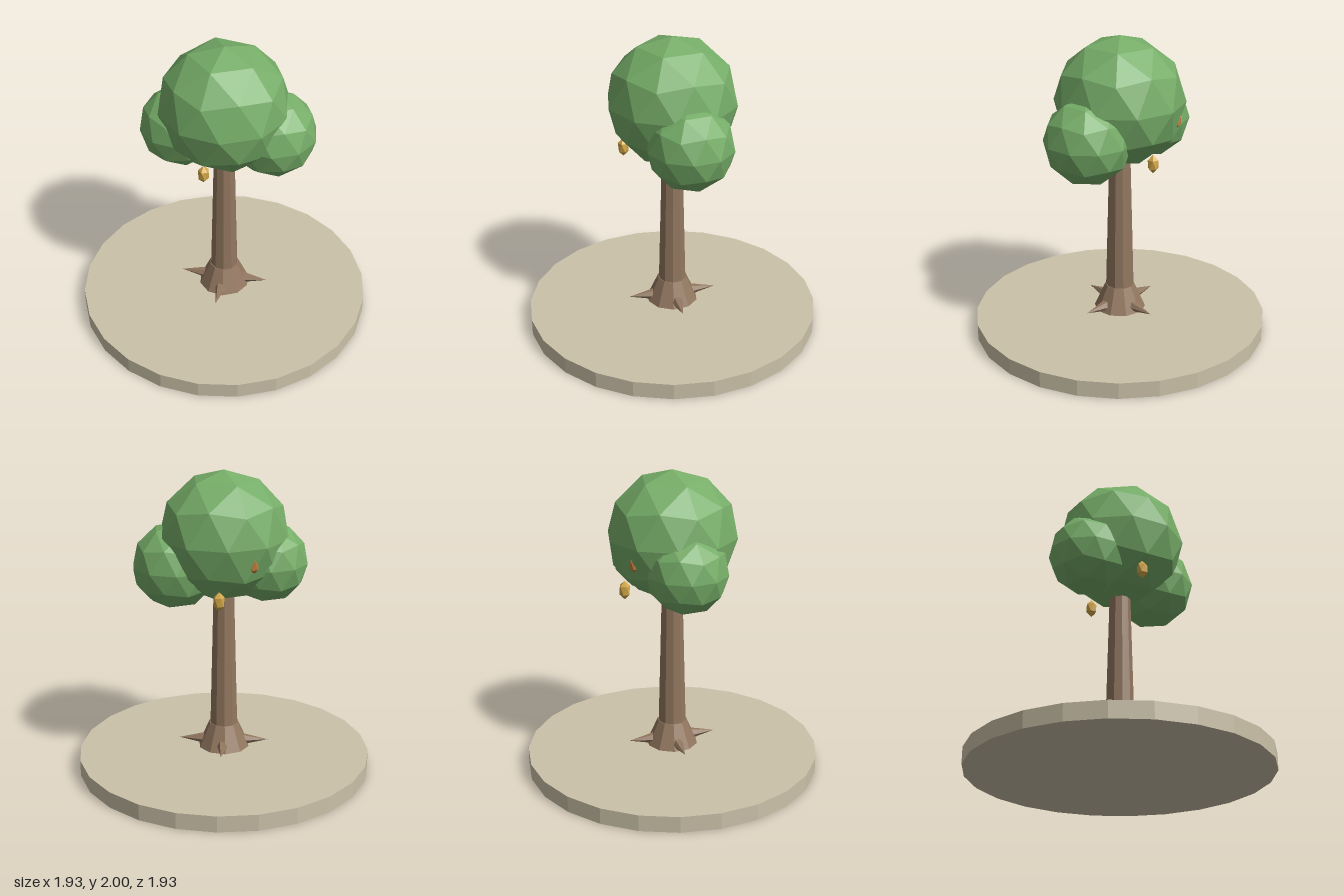
import * as THREE from 'three';

const flat = (name, color) => {
  const m = new THREE.MeshStandardMaterial({ color });
  m.name = name;
  m.flatShading = true;
  return m;
};

export function createModel() {
  const tree = new THREE.Group();
  tree.name = 'tree';

  const sand = flat('sand', 0xcbc1a8);
  const bark = flat('bark', 0x92775f);
  const leaf = flat('leaf', 0x76ad68);
  const gold = flat('gold', 0xd2a748);
  const amber = flat('amber', 0xc08040);

  const add = (name, geometry, material, x = 0, y = 0, z = 0) => {
    const mesh = new THREE.Mesh(geometry, material);
    mesh.name = name;
    mesh.position.set(x, y, z);
    tree.add(mesh);
    return mesh;
  };

  // Icosphere turned so that one corner points straight up
  const ball = (radius, detail) =>
    new THREE.IcosahedronGeometry(radius, detail).rotateZ(-Math.atan(2 / (1 + Math.sqrt(5))));

  // Round base slab
  add('base', new THREE.CylinderGeometry(0.965, 0.965, 0.107, 24), sand, 0, 0.0535, 0);

  // Trunk with flared foot
  add('trunkFoot', new THREE.CylinderGeometry(0.097, 0.17, 0.165, 10), bark, 0, 0.2175, 0);
  add('trunk', new THREE.CylinderGeometry(0.066, 0.092, 1.0, 10), bark, 0, 0.795, 0);

  // Four pointed roots, spread around the foot
  for (let i = 0; i < 4; i++) {
    const angle = 0.5 + (i * Math.PI) / 2;
    const root = new THREE.ConeGeometry(0.04, 0.18, 6).rotateZ(-Math.PI / 2).translate(0.205, 0, 0);
    add('root', root.rotateY(angle), bark, 0, 0.175, 0);
  }

  // Crown of three leafy balls
  add('mainCrown', ball(0.42, 1), leaf, 0, 1.58, 0);
  add('leftCrown', ball(0.28, 1), leaf, 0.25, 1.39, -0.18);
  add('rightCrown', ball(0.262, 1), leaf, -0.235, 1.41, 0.145);

  // Hanging fruits, one almost hidden in the leaves
  const fruit = ball(0.039, 0).scale(1, 1.6, 1);
  add('frontFruit', fruit, gold, 0.085, 1.262, 0.3);
  add('backFruit', fruit, gold, -0.142, 1.238, -0.278);
  add('hiddenFruit', fruit, amber, -0.318, 1.473, -0.165);

  return tree;
}
